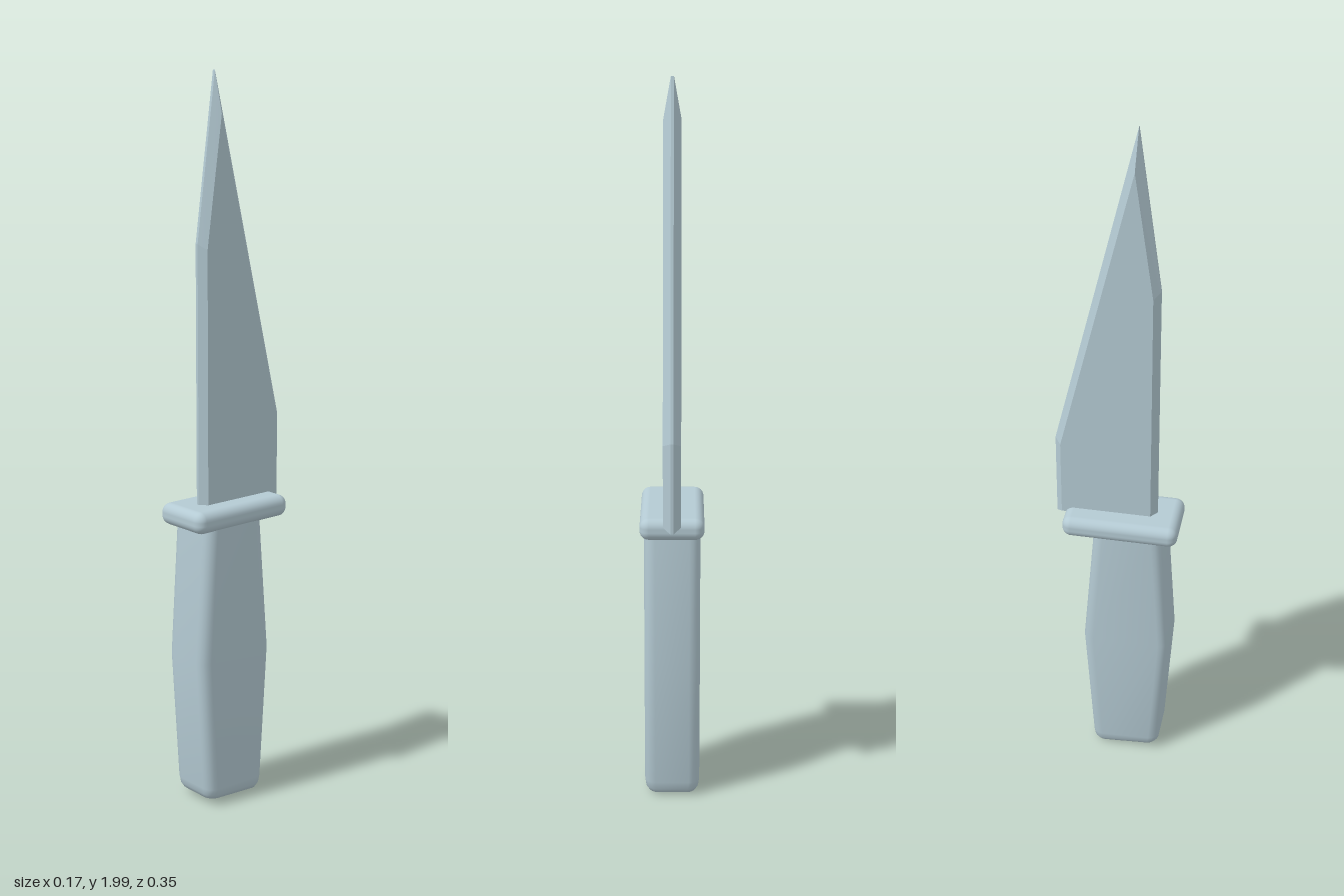
import * as THREE from 'three';
import { toCreasedNormals } from 'three/addons/utils/BufferGeometryUtils.js';
import { RoundedBoxGeometry } from 'three/addons/geometries/RoundedBoxGeometry.js';

// Skin a stack of equal-length rings (arrays of [x, y, z]) and cap both ends.
function loft(rings, crease) {
  const pos = [];
  const tri = (...points) => points.forEach((p) => pos.push(...p));
  const n = rings[0].length;
  const centre = (ring) => [0, 1, 2].map((k) => ring.reduce((s, p) => s + p[k], 0) / n);
  const first = rings[0], last = rings[rings.length - 1];
  const c0 = centre(first), c1 = centre(last);
  for (let j = 0; j < n; j++) {
    const k = (j + 1) % n;
    for (let i = 0; i < rings.length - 1; i++) {
      const a = rings[i], b = rings[i + 1];
      tri(a[j], a[k], b[k], a[j], b[k], b[j]);
    }
    tri(c0, first[k], first[j]);
    tri(c1, last[j], last[k]);
  }
  const geometry = new THREE.BufferGeometry();
  geometry.setAttribute('position', new THREE.Float32BufferAttribute(pos, 3));
  return toCreasedNormals(geometry, crease);
}

// Rounded rectangle in the xz plane; tilt raises it towards the front.
function gripSection(y, zBack, zFront, hx, r, tilt) {
  const zc = (zBack + zFront) / 2, hz = (zFront - zBack) / 2, ring = [];
  const corners = [[1, -1], [-1, -1], [-1, 1], [1, 1]];
  corners.forEach(([sx, sz], q) => {
    for (let s = 0; s <= 4; s++) {
      const a = (q + s / 4) * Math.PI / 2;
      const x = sx * (hx - r) + r * Math.cos(a);
      const z = sz * (hz - r) - r * Math.sin(a);
      ring.push([x, y + tilt * z, zc + z]);
    }
  });
  return ring;
}

export function createModel() {
  const model = new THREE.Group();
  const steel = new THREE.MeshStandardMaterial({ color: 0xb4cad3 });
  steel.name = 'paleBlueGrey';
  const add = (name, geometry) => {
    const mesh = new THREE.Mesh(geometry, steel);
    mesh.name = name;
    model.add(mesh);
    return mesh;
  };

  // Handle: swells at the middle, with a rounded, slightly slanted butt
  add('handle', loft([
    gripSection(0.012, -0.043, 0.113, 0.052, 0.022, 0.07),
    gripSection(0.019, -0.055, 0.124, 0.066, 0.026, 0.07),
    gripSection(0.032, -0.062, 0.131, 0.074, 0.029, 0.06),
    gripSection(0.052, -0.065, 0.134, 0.077, 0.03, 0.04),
    gripSection(0.43, -0.09, 0.158, 0.077, 0.03, 0),
    gripSection(0.81, -0.06, 0.133, 0.077, 0.03, 0),
  ], 0.7));

  // Guard: soft-edged bar between handle and blade
  add('guard', new RoundedBoxGeometry(0.174, 0.06, 0.32, 4, 0.025)).position.set(0, 0.83, 0.015);

  // Blade: flat sides bevelled to a thin rim all round; outline as [y, z]
  const rim = [[0.832, 0.11], [0.832, -0.172], [1.08, -0.172], [2, 0.05], [1.56, 0.11]];
  const flat = [[0.845, 0.093], [0.845, -0.155], [1.07, -0.155], [1.89, 0.044], [1.545, 0.093]];
  const side = (outline, x) => outline.map(([y, z]) => [x, y, z]);
  add('blade', loft([side(flat, -0.024), side(rim, -0.004), side(rim, 0.004), side(flat, 0.024)], 0.1));

  return model;
}
